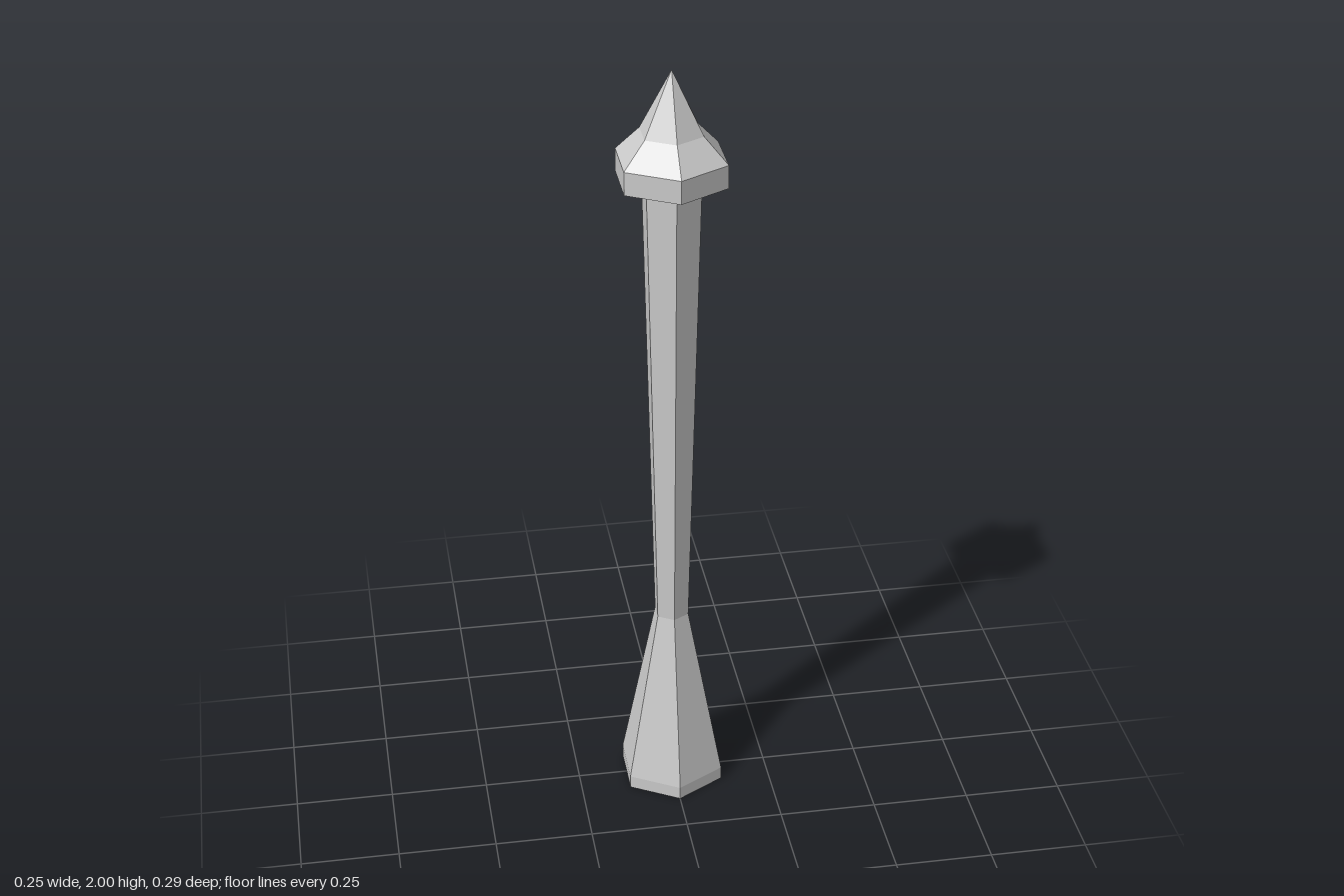
import * as THREE from 'three';

const material = new THREE.MeshStandardMaterial({
  color: 0xcccccc, flatShading: true, side: THREE.DoubleSide,
});

// Six-sided open shell from [radius, y] points, with corners on the z axis
function hexShell(name, profile) {
  const points = profile.map(([r, y]) => new THREE.Vector2(r, y));
  const mesh = new THREE.Mesh(new THREE.LatheGeometry(points, 6), material);
  mesh.name = name;
  return mesh;
}

export function createModel() {
  const group = new THREE.Group();
  group.name = 'post';

  // Flared foot, hollow underneath, with a short upright band
  group.add(hexShell('foot', [[0.141, 0], [0.141, 0.035], [0.046, 0.505]]));

  // Shaft widening upwards into the cap
  group.add(hexShell('shaft', [[0.046, 0.505], [0.08, 1.84]]));

  // Pointed cap with an overhanging rim, open underneath
  group.add(hexShell('cap', [[0.143, 1.723], [0.143, 1.782], [0.081, 1.845], [0, 2]]));

  return group;
}
